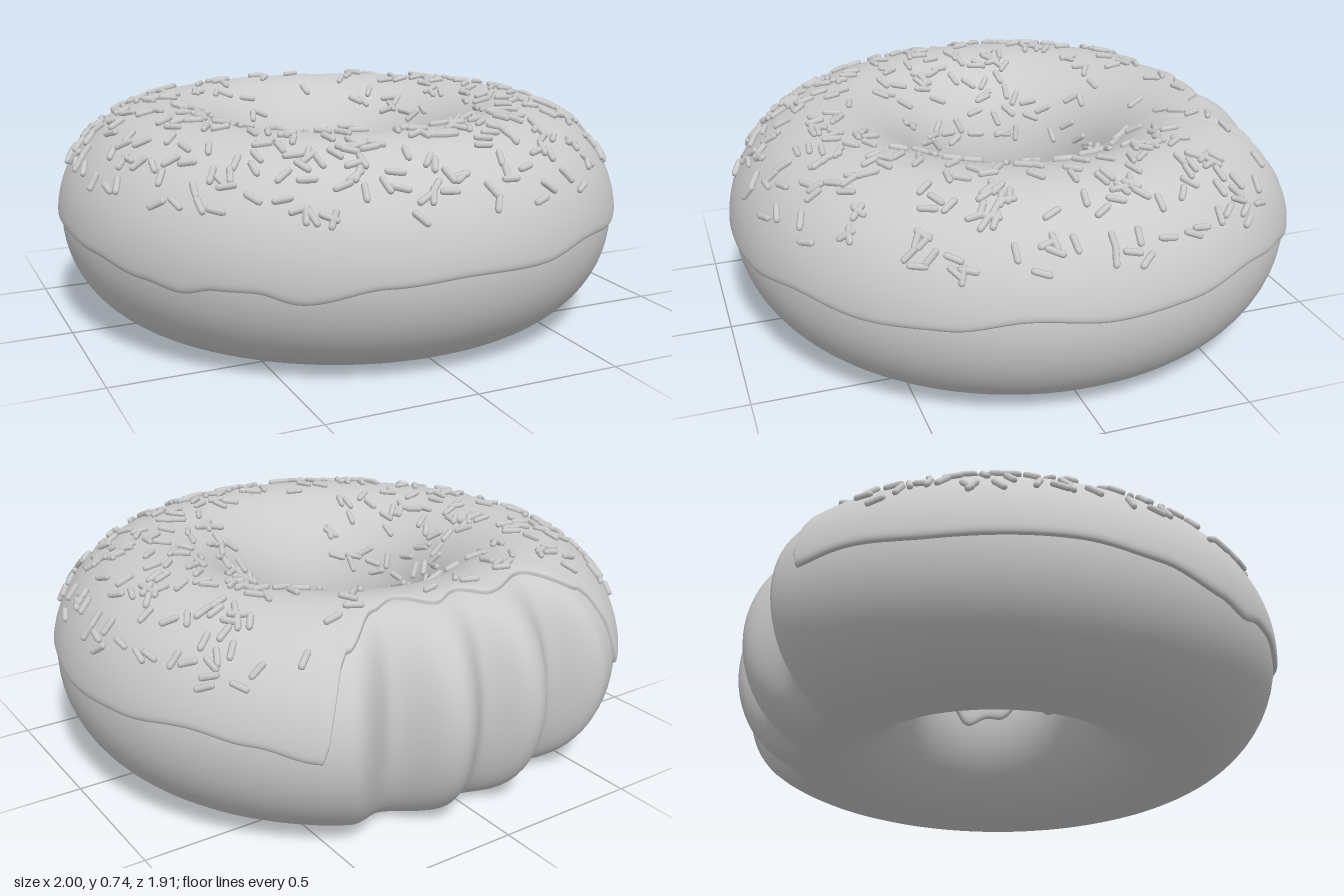
import * as THREE from 'three';
import { mergeGeometries } from 'three/addons/utils/BufferGeometryUtils.js';

const RING = 0.637, TUBE = 0.35, MID_Y = 0.352, CENTRE_Z = -0.037, ICING = 0.014;

// Smooth interpolation through [position, value] keys
function ease(keys, x) {
  let i = 0;
  while (i < keys.length - 2 && x > keys[i + 1][0]) i++;
  const [x0, y0] = keys[i], [x1, y1] = keys[i + 1];
  const t = THREE.MathUtils.clamp((x - x0) / (x1 - x0), 0, 1);
  return y0 + (y1 - y0) * (0.5 - 0.5 * Math.cos(Math.PI * t));
}

// Depth of the tooth scallops by degrees away from the back
const BITE = [[0, 0.157], [9.2, 0.062], [22, 0.154], [31, 0.004], [36, 0]];

// Outer icing edge: degrees around from the front, tube angle in radians
const EDGE = [
  [0, 0], [15, -0.02], [30, 0.06], [45, 0.01], [60, 0.04], [75, 0.14], [90, 0.08], [105, 0.1],
  [120, 0.17], [132, 0.11], [144, 0], [148, 0.9], [155, 1.3], [162, 1.55], [172, 1.35], [180, 1.47],
  [188, 1.3], [205, 1.32], [214, 0.9], [218, 0.03], [228, 0.06], [245, 0], [270, 0.02], [285, -0.03],
  [300, -0.12], [308, -0.17], [315, -0.1], [322, -0.09], [330, -0.17], [345, -0.04], [360, 0],
];
const degrees = (a) => ((THREE.MathUtils.radToDeg(a) % 360) + 360) % 360;
const outerEdge = (a) => ease(EDGE, degrees(a));
const innerEdge = (a) => Math.PI + 0.05 + 0.12 * Math.sin(5 * a) + 0.06 * Math.sin(11 * a + 1);

// Point on the ring: a goes round the ring, v round the tube, d is height above the dough
function surface(a, v, d) {
  const depth = ease(BITE, Math.abs(degrees(a) - 180));
  const c = Math.cos(v);
  const r = RING + c * (TUBE + d - (c > 0 ? depth : 0));
  const y = Math.max(0, MID_Y + Math.sin(v) * (0.36 + d));
  return new THREE.Vector3(Math.sin(a) * r, y, CENTRE_Z + Math.cos(a) * r);
}

// Grid closed around the ring, optionally closed around the tube
function ringGeometry(nu, nv, closed, point) {
  const pos = [], index = [];
  const rows = closed ? nv : nv + 1;
  for (let i = 0; i < nu; i++) {
    for (let j = 0; j < rows; j++) pos.push(...point((i / nu) * Math.PI * 2, j / nv));
    for (let j = 0; j < nv; j++) {
      const i2 = (i + 1) % nu, j2 = (j + 1) % rows;
      const a = i * rows + j, b = i2 * rows + j, c = i2 * rows + j2, d = i * rows + j2;
      index.push(a, b, c, a, c, d);
    }
  }
  const g = new THREE.BufferGeometry();
  g.setAttribute('position', new THREE.Float32BufferAttribute(pos, 3));
  g.setIndex(index);
  g.computeVertexNormals();
  return g;
}

function seeded(seed) {
  return () => (seed = (seed * 16807) % 2147483647) / 2147483647;
}

// Short rods lying on the icing in random directions
function sprinkleGeometry() {
  const rand = seeded(4217);
  const rod = new THREE.CapsuleGeometry(0.011, 0.046, 2, 7);
  const list = [];
  while (list.length < 430) {
    const a = rand() * Math.PI * 2;
    const v = 0.5 + rand() * 2.3;
    const spin = rand() * Math.PI * 2;
    const fromFront = Math.abs(degrees(a + Math.PI) - 180);
    if (rand() > (RING + TUBE * Math.cos(v)) / (RING + TUBE)) continue;
    if (v < outerEdge(a) + 0.2) continue;
    if (fromFront < 30 && v > 1.8) continue;
    if (fromFront > 125 && rand() < 0.5) continue;
    const p = surface(a, v, ICING + 0.006);
    const along = surface(a + 0.01, v, ICING).sub(surface(a - 0.01, v, ICING)).normalize();
    const across = surface(a, v + 0.01, ICING).sub(surface(a, v - 0.01, ICING)).normalize();
    const normal = along.clone().cross(across).normalize();
    const dir = along.multiplyScalar(Math.cos(spin)).addScaledVector(across, Math.sin(spin));
    dir.addScaledVector(normal, -dir.dot(normal)).normalize();
    const side = dir.clone().cross(normal);
    list.push(rod.clone().applyMatrix4(new THREE.Matrix4().makeBasis(side, dir, normal).setPosition(p)));
  }
  return mergeGeometries(list);
}

export function createModel() {
  const group = new THREE.Group();
  group.name = 'donut';
  const material = new THREE.MeshStandardMaterial({ color: 0xcccccc, side: THREE.DoubleSide });
  const add = (name, geometry) => {
    const mesh = new THREE.Mesh(geometry, material);
    mesh.name = name;
    group.add(mesh);
  };

  // Dough ring with the bite taken out of the back
  add('dough', ringGeometry(288, 64, true, (a, t) => surface(a, t * Math.PI * 2, 0)));

  // Icing sheet with a wavy, rounded rim tucked into the dough
  add('icing', ringGeometry(360, 60, false, (a, t) => {
    const s = THREE.MathUtils.clamp((t - 0.5) * 2, -1, 1);
    const spread = Math.sign(s) * (1 - Math.pow(1 - Math.abs(s), 1.5)) * 0.5 + 0.5;
    const v = THREE.MathUtils.lerp(outerEdge(a), innerEdge(a), spread);
    const rim = Math.min(1, Math.min(t, 1 - t) * 15);
    const d = -0.004 + (ICING + 0.004) * Math.sqrt(1 - (1 - rim) ** 2);
    return surface(a, v, d);
  }));

  add('sprinkles', sprinkleGeometry());
  return group;
}
